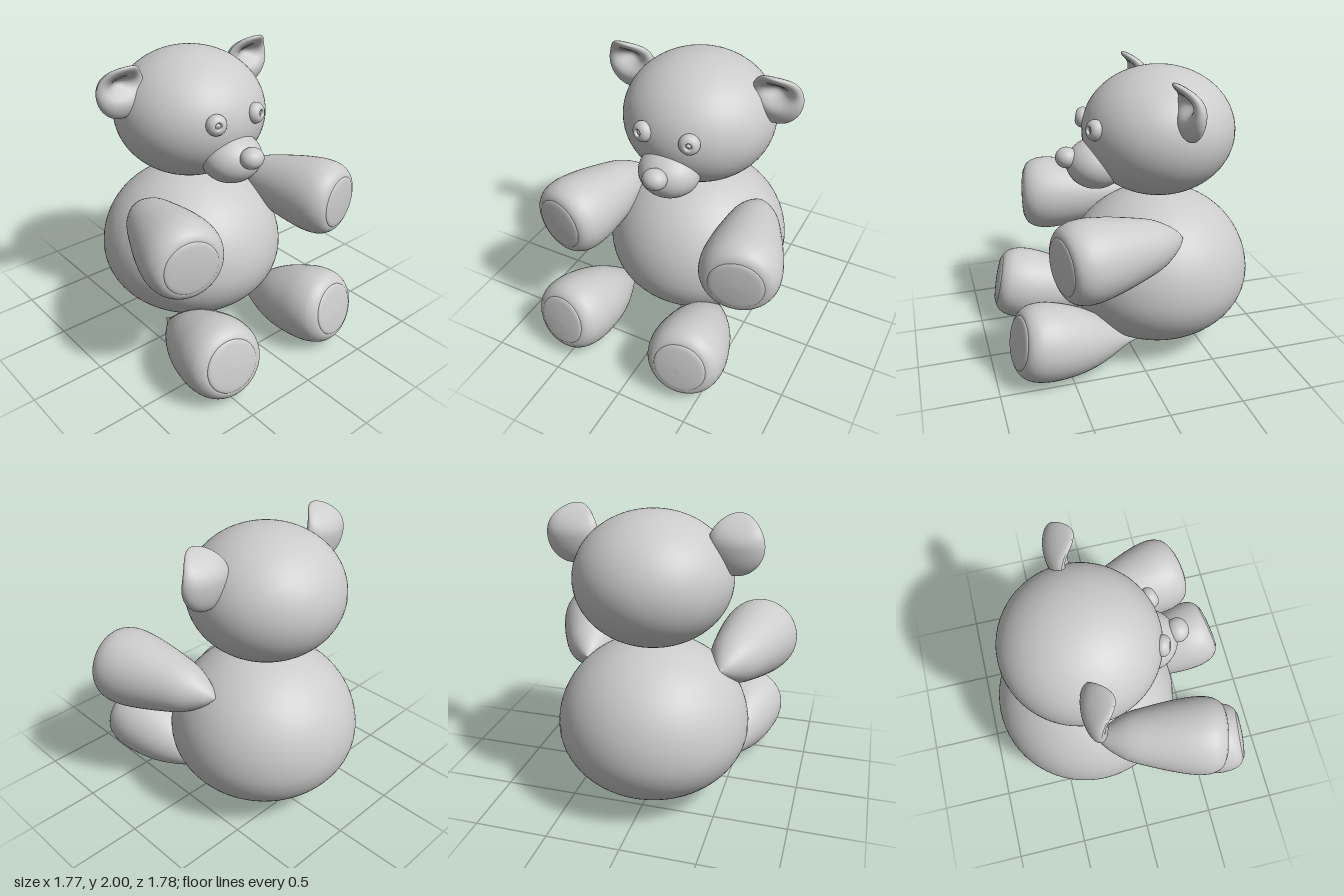
import * as THREE from 'three';

const material = new THREE.MeshStandardMaterial({ color: 0xcccccc, roughness: 0.8 });
const UP = new THREE.Vector3(0, 1, 0);
const CENTER = -0.01; // head and body sit slightly off the middle

function add(parent, name, geometry, position = [0, 0, 0]) {
  const mesh = new THREE.Mesh(geometry, material);
  mesh.name = name;
  mesh.position.set(...position);
  parent.add(mesh);
  return mesh;
}

function ellipsoid(rx, ry, rz, segments = 48) {
  return new THREE.SphereGeometry(1, segments, segments * 0.75).scale(rx, ry, rz);
}

// Move every vertex by a rule, then refresh the normals
function reshape(geometry, rule) {
  const pos = geometry.attributes.position;
  const v = new THREE.Vector3();
  for (let i = 0; i < pos.count; i++) {
    v.fromBufferAttribute(pos, i);
    rule(v);
    pos.setXYZ(i, v.x, v.y, v.z);
  }
  geometry.computeVertexNormals();
  return geometry;
}

// Smooth surface of revolution from [radius, height] pairs
function turned(points, samples = 36, segments = 48) {
  const curve = new THREE.CatmullRomCurve3(
    points.map(([r, h]) => new THREE.Vector3(r, h, 0)), false, 'centripetal');
  const profile = curve.getPoints(samples).map(p => new THREE.Vector2(Math.max(p.x, 0), p.y));
  return new THREE.LatheGeometry(profile, segments);
}

// Teardrop limb running from a pointed root to a round pad
function makeLimb(name, root, direction, profile, padRadius, padHeight) {
  const limb = new THREE.Group();
  limb.name = name;
  limb.position.set(...root);
  limb.quaternion.setFromUnitVectors(UP, new THREE.Vector3(...direction).normalize());
  add(limb, name + 'Stuffing', turned(profile));
  add(limb, name + 'Pad', turned([
    [padRadius - 0.01, -0.02], [padRadius, 0], [padRadius - 0.008, 0.01],
    [padRadius * 0.6, 0.02], [0, 0.026]], 20), [0, padHeight, 0]);
  return limb;
}

const armProfile = [[0, 0], [0.06, 0.05], [0.118, 0.13], [0.165, 0.22], [0.208, 0.37],
  [0.25, 0.56], [0.267, 0.7], [0.258, 0.79], [0.225, 0.85], [0.185, 0.872], [0.15, 0.868], [0, 0.868]];
const legProfile = [[0, -0.02], [0.035, 0.06], [0.075, 0.13], [0.13, 0.22], [0.19, 0.34],
  [0.232, 0.46], [0.262, 0.62], [0.266, 0.71], [0.25, 0.8], [0.22, 0.846], [0.185, 0.868], [0.15, 0.864], [0, 0.864]];

// Thick round ear with a hollow front and a top edge curling forward
function earGeometry() {
  return reshape(new THREE.SphereGeometry(1, 48, 40), v => {
    const { x, y, z } = v;
    const middle = Math.max(0, 1 - x * x);
    const curl = y > 0 ? 0.11 * y * y * (0.3 + 0.7 * middle) : 0;
    const dent = z > 0 ? 0.11 * Math.exp(-(x * x * 3 + (y - 0.25) ** 2 * 7)) : 0;
    v.set(x * 0.176, y * 0.185, z * 0.078 + curl - dent);
  });
}

// Round eye with a small dimple and bead in the middle
function eyeGeometry() {
  return turned([[0, -0.05], [0.05, -0.04], [0.07, 0], [0.058, 0.032], [0.035, 0.047],
    [0.024, 0.046], [0.018, 0.032], [0.011, 0.036], [0, 0.042]], 40, 32);
}

export function createModel() {
  const model = new THREE.Group();
  model.name = 'teddyBear';

  // Egg-shaped body, fuller towards the bottom
  const body = reshape(new THREE.SphereGeometry(1, 64, 48), v => {
    v.set(v.x * 0.65, v.y * (v.y > 0 ? 0.6 : 0.5), v.z * 0.65);
  });
  add(model, 'body', body, [CENTER, 0.54, -0.24]);

  // Head and face
  const head = new THREE.Group();
  head.name = 'headGroup';
  head.position.x = CENTER;
  model.add(head);
  add(head, 'head', ellipsoid(0.52, 0.435, 0.52, 64), [0, 1.565, -0.24]);
  add(head, 'muzzle', ellipsoid(0.208, 0.168, 0.2), [0, 1.367, 0.2]);
  add(head, 'nose', ellipsoid(0.083, 0.07, 0.075, 32), [0, 1.425, 0.4]);

  for (const side of [1, -1]) {
    const label = side > 0 ? 'left' : 'right';

    const eye = add(head, label + 'Eye', eyeGeometry(), [side * 0.165, 1.645, 0.245]);
    eye.quaternion.setFromUnitVectors(UP, new THREE.Vector3(side * 0.3, 0.15, 0.94).normalize());

    add(head, label + 'Ear', earGeometry(), [side * 0.53, 1.815, -0.26]);

    // Arms reach forward and slightly outward
    model.add(makeLimb(label + 'Arm', [side * 0.46, 0.96, -0.26], [side * 0.22, 0, 0.97],
      armProfile, 0.183, 0.868));

    // Legs stretch forward, both shifted a little to one side
    model.add(makeLimb(label + 'Leg', [side * 0.35 - 0.075, 0.13, 0], [side * 0.13, 0.21, 0.96],
      legProfile, 0.18, 0.866));
  }
  return model;
}
